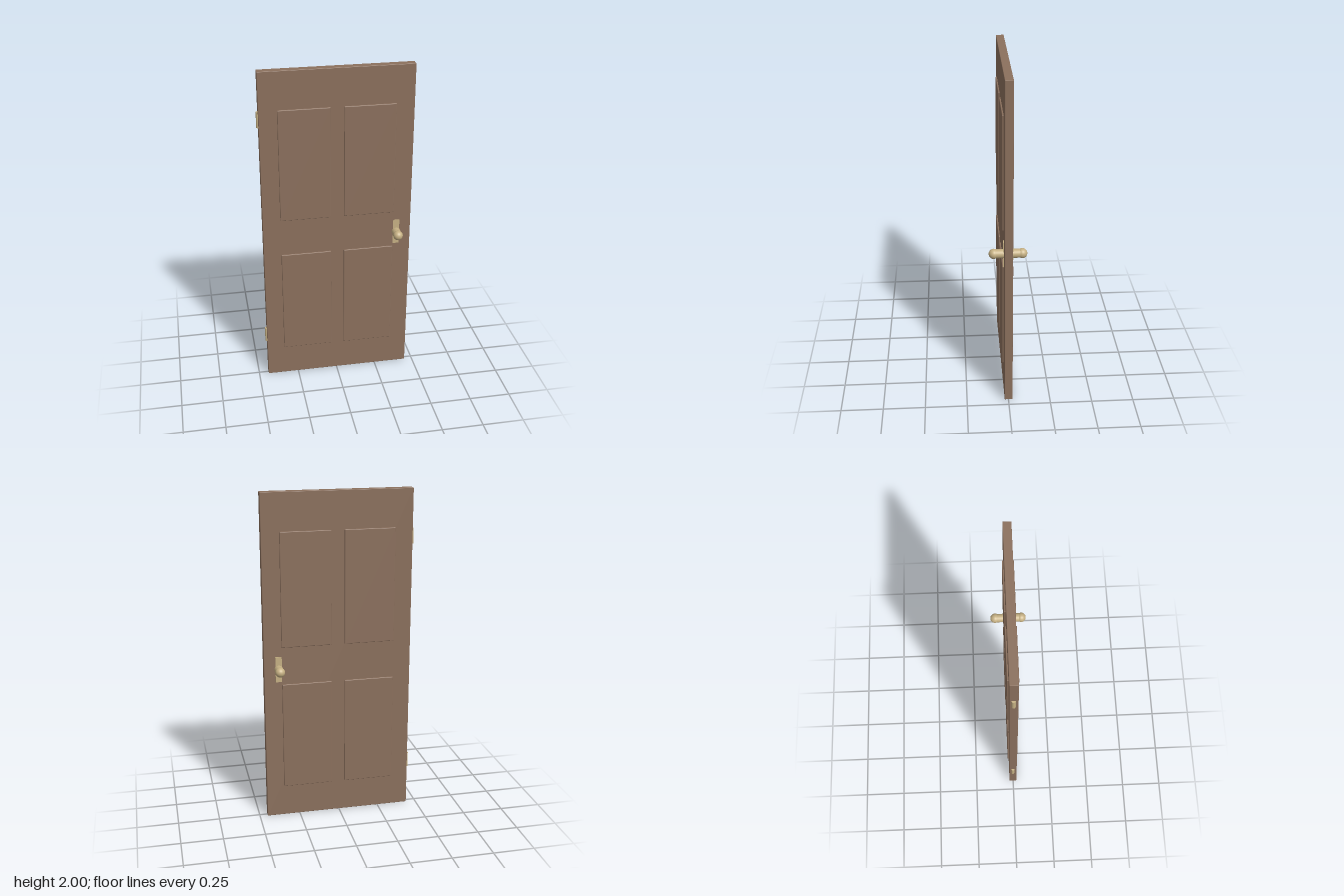
import * as THREE from 'three';
import { RoundedBoxGeometry } from 'three/addons/geometries/RoundedBoxGeometry.js';

export function createModel() {
  const door = new THREE.Group();
  door.name = 'door';
  const wood = new THREE.MeshStandardMaterial({ color: 0x8b705d });
  wood.name = 'brown wood';
  const brass = new THREE.MeshStandardMaterial({ color: 0xc6b184 });
  brass.name = 'pale brass';

  const add = (name, geometry, material, x, y, z, parent = door) => {
    const mesh = new THREE.Mesh(geometry, material);
    mesh.name = name;
    mesh.position.set(x, y, z);
    parent.add(mesh);
    return mesh;
  };

  // Door leaf
  const midZ = -0.001;
  add('slab', new RoundedBoxGeometry(0.893, 2, 0.047, 2, 0.003), wood, 0.0055, 1, midZ);

  // Four raised panels, showing on both faces
  for (const x of [-0.185, 0.195]) {
    for (const [bottom, top] of [[0.195, 0.86], [1.09, 1.775]]) {
      add('raisedPanel', new RoundedBoxGeometry(0.302, top - bottom, 0.064, 2, 0.004), wood,
        x, (bottom + top) / 2, midZ);
    }
  }

  // Handle set on each face: back plate, neck and ball knob
  for (const side of [1, -1]) {
    const handle = new THREE.Group();
    handle.name = side > 0 ? 'frontHandle' : 'backHandle';
    handle.position.set(0.365, 0.956, midZ);
    add('backPlate', new THREE.BoxGeometry(0.038, 0.156, 0.008), brass, 0, 0, side * 0.0245, handle);
    const neck = add('neck', new THREE.CylinderGeometry(0.026, 0.026, 0.05, 32), brass,
      0, 0, side * 0.047, handle);
    neck.rotation.x = Math.PI / 2;
    add('knob', new THREE.SphereGeometry(0.029, 32, 20), brass, 0, 0, side * 0.081, handle);
    door.add(handle);
  }

  // Hinge barrels on the hanging edge
  for (const y of [0.288, 1.718]) {
    add('hinge', new THREE.CylinderGeometry(0.011, 0.011, 0.094, 24), brass, -0.441, y, -0.002);
  }
  return door;
}
